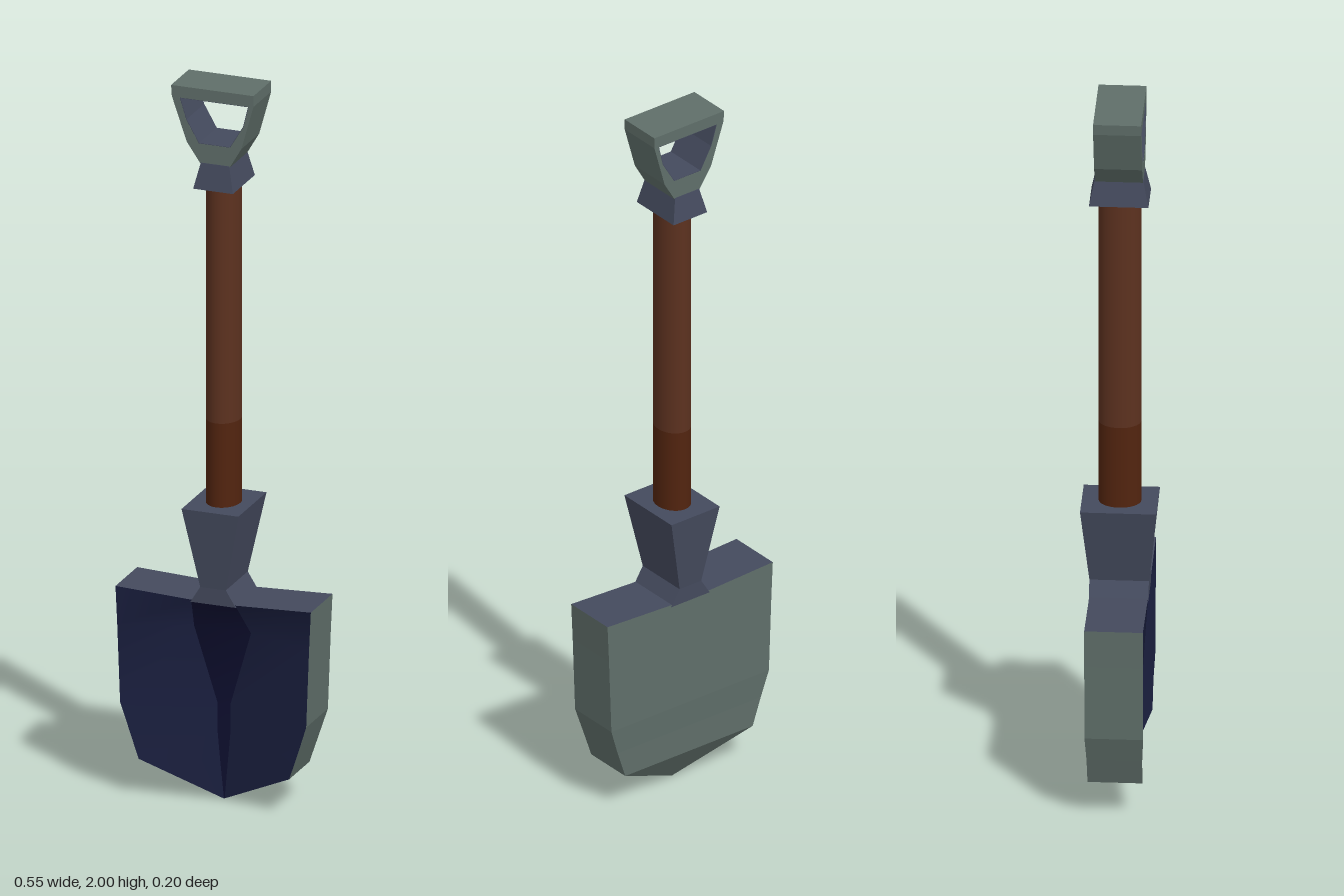
import * as THREE from 'three';

const paint = (color, flatShading = true) => new THREE.MeshStandardMaterial({ color, flatShading });

// Skins stacked six-point sections [halfWidth, y, halfDepth, centreDip], listed top to bottom.
// Material groups: 0 = walls, 1 = end caps. The front wall can be left open.
function loft(rows, openFront = false) {
  const rings = rows.map(([w, y, d, dip = 0]) => [
    [-w, y, d], [0, y - dip, d], [w, y, d],
    [w, y, -d], [0, y - dip, -d], [-w, y, -d],
  ]);
  const walls = [], caps = [];
  for (let i = 0; i < rings.length - 1; i++) {
    const a = rings[i], b = rings[i + 1];
    for (let j = openFront ? 2 : 0; j < 6; j++) {
      const k = (j + 1) % 6;
      walls.push(a[j], b[j], b[k], a[j], b[k], a[k]);
    }
  }
  const first = rings[0], last = rings[rings.length - 1];
  for (const [p, q, r] of [[0, 1, 4], [0, 4, 5], [1, 2, 3], [1, 3, 4]]) {
    caps.push(first[p], first[q], first[r], last[r], last[q], last[p]);
  }
  const geo = new THREE.BufferGeometry();
  geo.setAttribute('position', new THREE.Float32BufferAttribute([walls, caps].flat(2), 3));
  geo.addGroup(0, walls.length, 0);
  geo.addGroup(walls.length, caps.length, 1);
  geo.computeVertexNormals();
  return geo;
}

// Surface between a left and a right edge, both listed top to bottom
function strip(left, right) {
  const geo = new THREE.PlaneGeometry(1, 1, 1, left.length - 1);
  left.forEach((p, i) => {
    geo.attributes.position.setXYZ(i * 2, ...p);
    geo.attributes.position.setXYZ(i * 2 + 1, ...right[i]);
  });
  geo.computeVertexNormals();
  return geo;
}

const mirror = (edge) => edge.map(([x, y, z]) => [-x, y, z]);

export function createModel() {
  const group = new THREE.Group();
  const add = (name, geo, material) => {
    const mesh = new THREE.Mesh(geo, material);
    mesh.name = name;
    group.add(mesh);
  };
  const steel = paint(0x5f6e69), iron = paint(0x444a5d);
  const navy = paint(0x1a1f3f, false), shadow = paint(0x0e0f30, false);
  steel.side = navy.side = shadow.side = THREE.DoubleSide;

  // Blade: thick shell with flat back and sides, closing to a point
  const bladeRows = [
    [0.275, 0.587, 0.077, 0.012],
    [0.27, 0.48, 0.077],
    [0.262, 0.265, 0.077],
    [0.238, 0.19, 0.073],
    [0.212, 0.112, 0.072],
    [0, 0.005, 0],
  ];
  add('blade', loft(bladeRows, true), [steel, iron]);

  // Hollow front: slopes from the rim back to a narrow centre tongue
  const rim = bladeRows.map(([w, y, d]) => [w, y, d]);
  const tongue = [
    [0.062, 0.5777, 0.077], [0.08, 0.48, 0.01], [0.018, 0.27, 0],
    [0.018, 0.19, 0], [0.011, 0.112, 0], [0.002, 0.007, 0],
  ];
  add('bladeHollowLeft', strip(tongue, rim), navy);
  add('bladeHollowRight', strip(mirror(rim), mirror(tongue)), navy);
  add('bladeTongue', strip(mirror(tongue), tongue), shadow);

  // Socket: tapers to a neck, then flares into the blade
  add('socket', loft([
    [0.08, 0.836, 0.1],
    [0.036, 0.617, 0.078],
    [0.064, 0.572, 0.078],
  ]), [iron, iron]);

  // Shaft: oval pole with a darker lower length
  for (const [name, y0, y1, color] of [
    ['shaftLower', 0.82, 1.07, 0x52240f],
    ['shaftUpper', 1.07, 1.74, 0x5c311f],
  ]) {
    const geo = new THREE.CylinderGeometry(1, 1, y1 - y0, 32);
    geo.scale(0.046, 1, 0.056);
    geo.translate(0, (y0 + y1) / 2, 0);
    add(name, geo, paint(color, false));
  }

  // Collar between shaft and grip
  add('collar', loft([
    [0.04, 1.795, 0.064],
    [0.056, 1.725, 0.078],
  ]), [iron, iron]);

  // Grip: D-shaped loop with a dark lining inside the opening, outlines counter-clockwise
  const points = (list, s = 1) => list.map(([x, y]) => new THREE.Vector2(x * s, 1.91 + (y - 1.91) * s));
  const opening = [
    [-0.046, 1.847], [0.042, 1.847], [0.08, 1.91],
    [0.094, 1.968], [-0.1, 1.968], [-0.082, 1.91],
  ];
  const loop = (name, outer, inner, depth, material) => {
    const shape = new THREE.Shape(outer);
    shape.holes.push(new THREE.Path(inner));
    const geo = new THREE.ExtrudeGeometry(shape, { depth, bevelEnabled: false });
    geo.translate(0, 0, -depth / 2);
    add(name, geo, material);
  };
  loop('grip', points([
    [-0.04, 1.79], [0.04, 1.79], [0.074, 1.848], [0.108, 1.97],
    [0.108, 2], [-0.124, 2], [-0.122, 1.97], [-0.08, 1.848],
  ]), points(opening), 0.126, steel);
  loop('gripLining', points(opening), points(opening, 0.98), 0.125, iron);

  return group;
}
